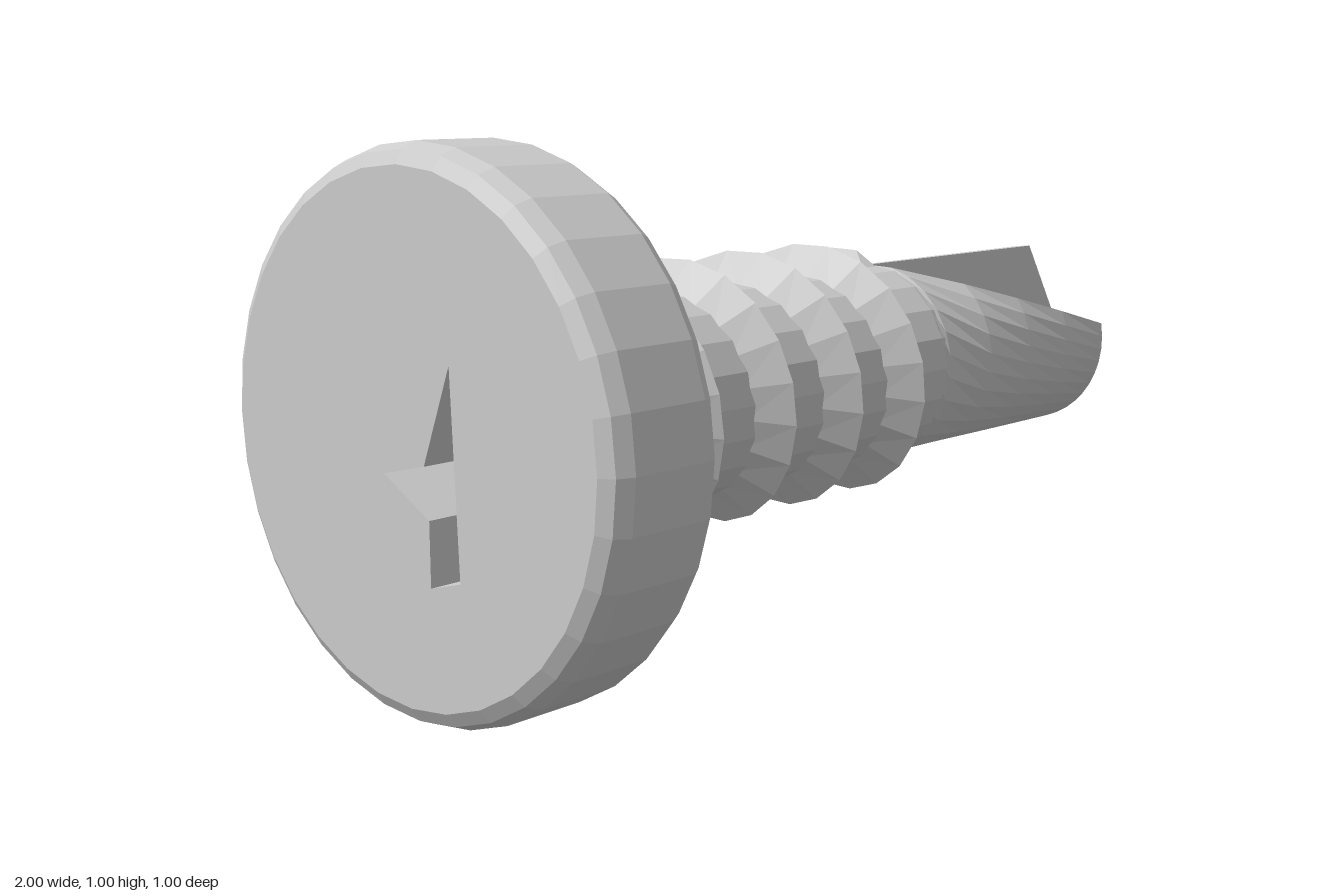
import * as THREE from 'three';

const material = new THREE.MeshStandardMaterial({ color: 0xcccccc, flatShading: true });

function part(name, geometry) {
  const mesh = new THREE.Mesh(geometry, material);
  mesh.name = name;
  return mesh;
}

// Skin a surface over successive rings of points
function loft(rings, closed = true) {
  const pos = [];
  const n = rings[0].length;
  for (let i = 0; i < rings.length - 1; i++) {
    for (let j = 0; j < (closed ? n : n - 1); j++) {
      const k = (j + 1) % n;
      const a = rings[i][j], b = rings[i + 1][j], c = rings[i][k], d = rings[i + 1][k];
      pos.push(...a, ...b, ...c, ...c, ...b, ...d);
    }
  }
  const g = new THREE.BufferGeometry();
  g.setAttribute('position', new THREE.Float32BufferAttribute(pos, 3));
  g.computeVertexNormals();
  return g;
}

// Turned profile around the x axis, given as [x, radius]
function turned(profile, sides) {
  const pts = profile.map(([x, r]) => new THREE.Vector2(r, x));
  return new THREE.LatheGeometry(pts, sides).rotateZ(-Math.PI / 2);
}

// Helical ridge that fades out at both ends
function threadGeometry() {
  const rings = [], start = -0.78, end = 4.03, steps = 96;
  for (let i = 0; i <= steps; i++) {
    const turn = start + (end - start) * i / steps;
    const t = turn * Math.PI * 2, x = -0.55 + 0.2 * turn;
    const fade = Math.min(1, (turn - start) / 0.08, (end - turn) / 0.08);
    const at = (dx, r) => [x + dx, r * Math.cos(t), r * Math.sin(t)];
    rings.push([at(-0.062, 0.192), at(0, 0.192 + 0.071 * fade), at(0.062, 0.192)]);
  }
  return loft(rings, false);
}

// Drill end: round bar with two opposite flutes that deepen toward the point
function drillGeometry() {
  const rings = [0.25, 0.27, 0.42, 0.57, 0.72, 0.87, 0.935, 1].map((x) => {
    const R = x <= 0.87 ? 0.205 : 0.205 * (1 - x) / 0.13;
    const f = Math.min(R, 0.2 * (1 - x) / 0.73);
    const sweep = Math.PI / 2 + (R > 0 ? Math.asin(f / R) : 0);
    const ring = [];
    for (const s of [1, -1]) {
      for (let i = 0; i <= 12; i++) {
        const a = sweep * i / 12;
        ring.push([x, s * R * Math.cos(a), -s * R * Math.sin(a)]);
      }
      ring.push([x, -s * f, 0]);
    }
    return ring;
  });
  return loft(rings);
}

export function createModel() {
  const group = new THREE.Group();
  group.name = 'selfDrillingScrew';

  // Head rim and underside
  group.add(part('headRim', turned([
    [-1, 0.46], [-0.985, 0.485], [-0.955, 0.498], [-0.79, 0.498],
    [-0.765, 0.485], [-0.75, 0.45], [-0.74, 0.15],
  ], 32)));

  // Head face with driver recess, outline in [z, y]
  const outline = [[0.12, 0.14], [0.05, -0.035], [-0.055, -0.06], [0.06, -0.125], [0.06, -0.24], [0.135, -0.22]];
  const face = new THREE.Shape();
  face.absarc(0, 0, 0.46, 0, Math.PI * 2);
  face.holes.push(new THREE.Path(outline.map(([z, y]) => new THREE.Vector2(z, y))));
  group.add(part('headFace', new THREE.ShapeGeometry(face, 16).rotateY(-Math.PI / 2).translate(-1, 0, 0)));

  const inward = [...outline].reverse();
  group.add(part('driverRecess', loft([
    inward.map(([z, y]) => [-1, y, z]),
    inward.map(([z, y]) => [-0.82, y, z]),
    inward.map(() => [-0.82, -0.08, 0.08]),
  ])));

  // Shank, thread and drill point
  group.add(part('shank', turned([
    [-0.76, 0.225], [-0.69, 0.22], [-0.6, 0.205], [0.25, 0.205], [0.28, 0.2],
  ], 20)));
  group.add(part('thread', threadGeometry()));
  group.add(part('drillPoint', drillGeometry()));

  group.position.y = 0.5;
  const model = new THREE.Group();
  model.name = 'screw';
  model.add(group);
  return model;
}
